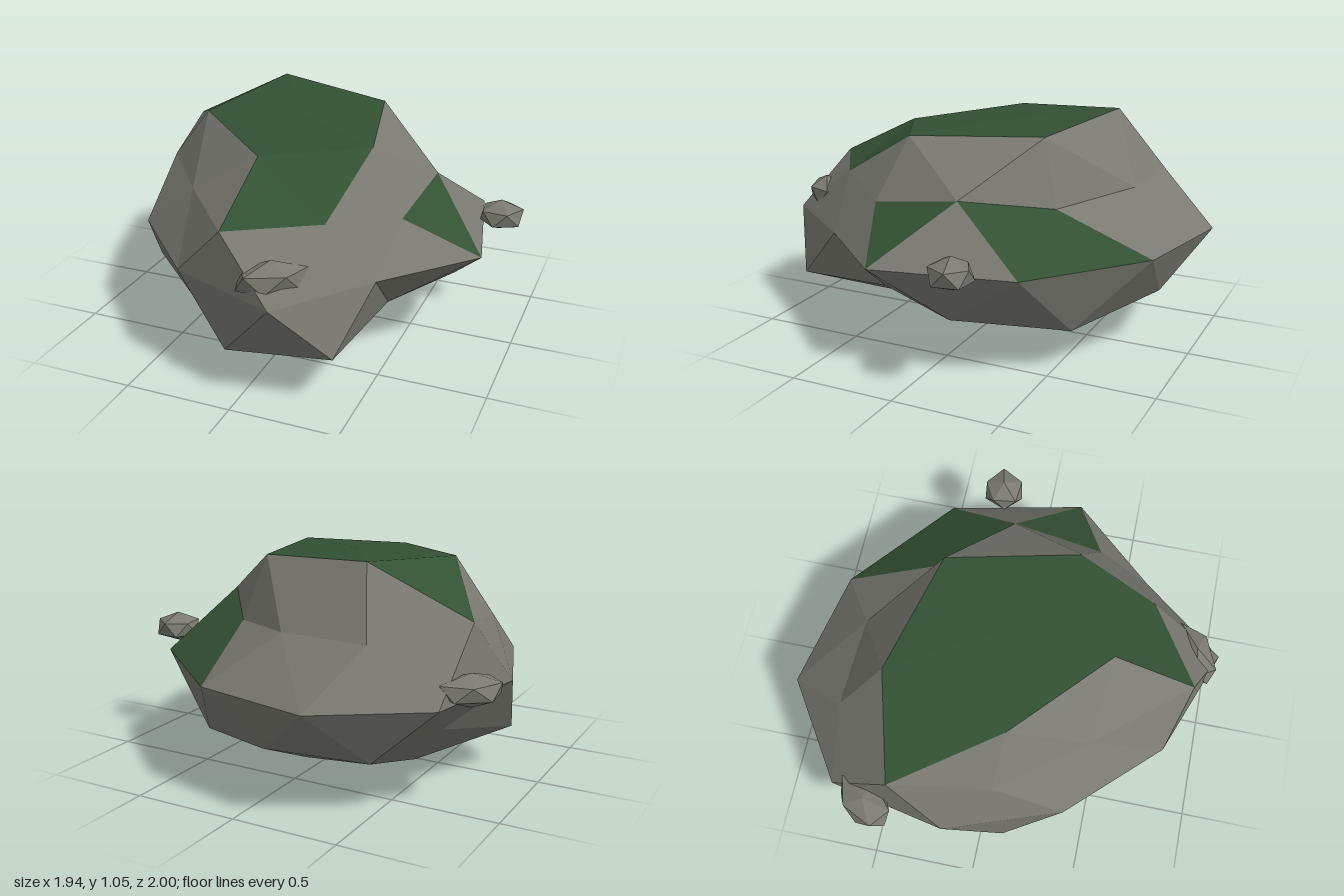
import * as THREE from 'three';

// Cross-sections of the boulder as [x, y, z], each loop running from +x towards +z
const TOP = [-0.06, 1.01, 0.0];
const CROWN = [[0.37, 0.99, 0.25], [-0.08, 0.965, 0.485], [-0.53, 1.0, 0.08], [-0.37, 1.05, -0.5], [0.22, 1.01, -0.36]];
const SHOULDER = [
  [0.575, 0.775, -0.1], [0.54, 0.71, 0.335], [0.295, 0.765, 0.635], [-0.08, 0.77, 0.875], [-0.43, 0.75, 0.45],
  [-0.73, 0.75, 0.06], [-0.82, 0.82, -0.4], [-0.48, 0.75, -0.71], [-0.06, 0.75, -0.69], [0.3, 0.71, -0.45],
];
const WAIST = [
  [0.87, 0.19], [0.51, 0.59], [0.19, 1.0], [-0.33, 0.8], [-0.72, 0.39],
  [-0.91, -0.15], [-0.8, -0.7], [-0.34, -1.0], [0.23, -0.88], [0.73, -0.46],
].map(([x, z]) => [x, 0.515, z]);
const BELLY = [
  [0.68, 0.265, -0.11], [0.485, 0.285, 0.33], [0.41, 0.25, 0.84], [-0.08, 0.205, 0.865], [-0.43, 0.31, 0.5],
  [-0.82, 0.205, 0.12], [-0.68, 0.32, -0.38], [-0.5, 0.24, -0.71], [-0.05, 0.27, -0.835], [0.42, 0.2, -0.58],
];
const FOOT = [[0.3, 0.115, 0.0], [0.14, 0.115, 0.39], [-0.37, 0.0, 0.4], [-0.45, 0.06, -0.15], [-0.03, 0.09, -0.44]];
const BOTTOM = [-0.04, 0.05, 0.0];

const at = (loop, i) => loop[(i + loop.length) % loop.length];

function facetMesh(name, faces, material) {
  const geometry = new THREE.BufferGeometry();
  geometry.setAttribute('position', new THREE.Float32BufferAttribute(faces.flat(2), 3));
  geometry.computeVertexNormals();
  const mesh = new THREE.Mesh(geometry, material);
  mesh.name = name;
  return mesh;
}

// Low-poly pebble: pole-up icosahedron, squashed, slightly uneven, long axis turned about y
function pebble(name, position, scale, turn, material) {
  const geometry = new THREE.IcosahedronGeometry(1, 0);
  geometry.rotateX(-Math.atan((1 + Math.sqrt(5)) / 2));
  const p = geometry.attributes.position;
  for (let i = 0; i < p.count; i++) {
    const k = 1 + 0.06 * Math.sin(5 * p.getX(i) + 3 * p.getZ(i) + 7 * p.getY(i) + turn);
    p.setXYZ(i, p.getX(i) * k, p.getY(i) * k, p.getZ(i) * k);
  }
  geometry.scale(...scale);
  geometry.computeVertexNormals();
  const mesh = new THREE.Mesh(geometry, material);
  mesh.name = name;
  mesh.position.set(...position);
  mesh.rotation.y = turn;
  return mesh;
}

export function createModel() {
  const stone = new THREE.MeshStandardMaterial({ color: 0x7a7a72, flatShading: true });
  stone.name = 'grey stone';
  const moss = new THREE.MeshStandardMaterial({ color: 0x335133, flatShading: true });
  moss.name = 'green moss';

  const bare = [], mossy = [];
  const face = (a, b, c, isMoss = false) => (isMoss ? mossy : bare).push([a, b, c]);

  // Caps: fans at top and bottom, stitched to the ten-sided loops
  for (let k = 0; k < 5; k++) {
    const u = CROWN[k], uNext = at(CROWN, k + 1);
    const s = (i) => at(SHOULDER, 2 * k + i);
    face(TOP, uNext, u, true);
    face(u, s(1), s(0), k === 1);
    face(u, s(2), s(1));
    face(u, uNext, s(2), k === 0 || k === 2);

    const f = FOOT[k], fNext = at(FOOT, k + 1);
    const b = (i) => at(BELLY, 2 * k + i);
    face(f, fNext, BOTTOM);
    face(b(0), b(1), f);
    face(b(-1), b(0), f);
    face(b(1), fNext, f);
  }

  // Sides: zigzag bands above and below the waist
  for (let k = 0; k < 10; k++) {
    const w = WAIST[k], wNext = at(WAIST, k + 1);
    face(SHOULDER[k], at(SHOULDER, k + 1), w, k === 0 || k === 9);
    face(at(SHOULDER, k + 1), wNext, w, k === 8);
    face(at(WAIST, k - 1), w, BELLY[k]);
    face(w, at(BELLY, k + 1), BELLY[k]);
  }

  const model = new THREE.Group();
  model.name = 'mossyBoulder';
  model.add(
    facetMesh('boulder', bare, stone),
    facetMesh('mossPatches', mossy, moss),
    pebble('leftPebble', [0.863, 0.56, -0.218], [0.115, 0.072, 0.108], 0.5, stone),
    pebble('rightPebble', [-0.865, 0.57, -0.522], [0.105, 0.072, 0.16], 2.5, stone),
    pebble('frontPebble', [0.15, 0.595, 0.87], [0.09, 0.085, 0.165], 2.16, stone),
  );
  return model;
}
